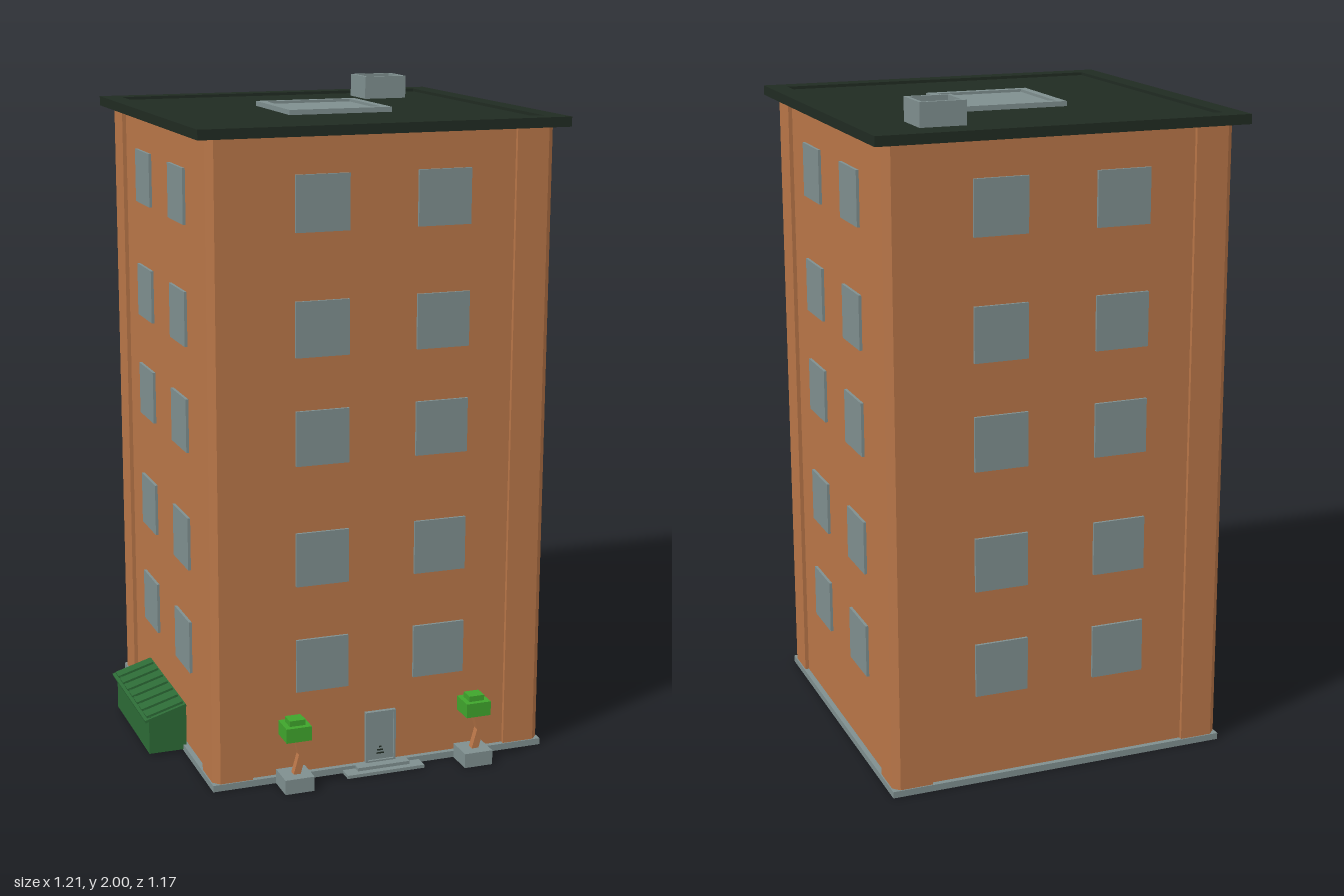
import * as THREE from 'three';

const mat = (name, color, side = THREE.FrontSide) => {
  const m = new THREE.MeshStandardMaterial({ color, side });
  m.name = name;
  return m;
};

export function createModel() {
  const brick = mat('brick', 0xb97648);
  const grey = mat('grey', 0x7f8f8f);
  const dark = mat('roofDark', 0x202b22);
  const leaf = mat('leafGreen', 0x3fa52c);
  const green = mat('shedGreen', 0x2c6a36, THREE.DoubleSide);

  const model = new THREE.Group();
  model.name = 'apartmentBlock';

  const add = (parent, name, geo, material, x = 0, y = 0, z = 0) => {
    const m = new THREE.Mesh(geo, material);
    m.name = name;
    m.position.set(x, y, z);
    parent.add(m);
    return m;
  };
  // box given by its minimum and maximum in each direction
  const box = (parent, name, material, x0, x1, y0, y1, z0, z1) =>
    add(parent, name, new THREE.BoxGeometry(x1 - x0, y1 - y0, z1 - z0), material,
      (x0 + x1) / 2, (y0 + y1) / 2, (z0 + z1) / 2);
  const square = (w, h = w) => [[-w, -h], [w, -h], [w, h], [-w, h]].map(p => new THREE.Vector2(...p));
  // outline with a hole, extruded along z
  const ring = (outer, inner, depth) => {
    const s = new THREE.Shape(outer);
    s.holes.push(new THREE.Path(inner));
    return new THREE.ExtrudeGeometry(s, { depth, bevelEnabled: false });
  };
  const flatRing = (...a) => ring(...a).rotateX(-Math.PI / 2);

  // everything square shares the tower's centre
  const tower = new THREE.Group();
  tower.name = 'tower';
  tower.position.set(0.043, 0, -0.027);
  model.add(tower);

  // walls: recessed panels between corner piers with cut corners
  const H = 0.524, P = 0.405, R = 0.012, C = 0.02;
  const plan = [];
  for (let i = 0; i < 4; i++) {
    for (const [x, y] of [[H - R, P], [H, P], [H, H - C], [H - C, H], [P, H], [P, H - R]]) {
      plan.push(new THREE.Vector2(x, y).rotateAround(new THREE.Vector2(), i * Math.PI / 2));
    }
  }
  add(tower, 'walls', flatRing(plan, square(0.5), 1.895), brick, 0, 0.018, 0);
  add(tower, 'baseTrim', flatRing(square(0.528), square(0.505), 0.02), grey);

  // windows on all four sides
  const rows = [0.355, 0.682, 1.045, 1.363, 1.72];
  const pane = new THREE.BoxGeometry(0.162, 0.162, 0.009);
  const innerFrame = ring(square(0.088), square(0.073), 0.008);
  for (let s = 0; s < 4; s++) {
    const side = new THREE.Group();
    side.name = 'windowSide';
    side.rotation.y = s * Math.PI / 2;
    tower.add(side);
    for (const y of rows) {
      for (const x of [-0.185, 0.185]) {
        add(side, 'window', pane, grey, x, y, H - R + 0.004);
        add(side, 'innerWindowFrame', innerFrame, grey, x, y, 0.493);
      }
    }
  }

  // flat roof with raised rim
  add(tower, 'roofSlab', new THREE.BoxGeometry(1.116, 0.02, 1.116), dark, 0, 1.92, 0);
  add(tower, 'roofRim', flatRing(square(0.558), square(0.498), 0.01), dark, 0, 1.929, 0);

  // skylight and chimney
  add(tower, 'skylightFrame', flatRing(square(0.161), square(0.136), 0.015), grey, 0, 1.93, 0);
  add(tower, 'skylightPane', new THREE.BoxGeometry(0.274, 0.008, 0.274), grey, 0, 1.933, 0);
  add(tower, 'chimney', flatRing(square(0.069, 0.066), square(0.058, 0.055), 0.07), grey, 0.312, 1.93, -0.343);
  add(tower, 'chimneyFloor', new THREE.BoxGeometry(0.118, 0.045, 0.112), grey, 0.312, 1.952, -0.343);

  // entrance
  box(model, 'lowerStep', grey, -0.08, 0.166, 0, 0.01, 0.48, 0.545);
  box(model, 'upperStep', grey, -0.04, 0.126, 0.01, 0.02, 0.48, 0.525);
  add(model, 'doorFrame', ring(square(0.048, 0.081), square(0.042, 0.075), 0.014), grey, 0.043, 0.1, 0.484);
  box(model, 'door', grey, -0.001, 0.087, 0.02, 0.176, 0.482, 0.491);
  for (const [y, w] of [[0.045, 0.012], [0.055, 0.009], [0.065, 0.004]]) {
    box(model, 'doorDetail', dark, 0.043 - w, 0.043 + w, y - 0.002, y + 0.002, 0.491, 0.493);
  }

  // potted trees with bent trunks
  const trunkShape = new THREE.Shape([[-0.01, 0.04], [0.012, 0.04], [0.03, 0.105], [0.014, 0.165],
    [-0.008, 0.165], [0.008, 0.105]].map(p => new THREE.Vector2(...p)));
  const trunkGeo = new THREE.ExtrudeGeometry(trunkShape, { depth: 0.022, bevelEnabled: false });
  for (const x of [-0.246, 0.325]) {
    const tree = new THREE.Group();
    tree.name = 'pottedTree';
    tree.position.set(x, 0, 0.545);
    model.add(tree);
    box(tree, 'pot', grey, -0.045, 0.045, 0, 0.045, -0.044, 0.044);
    add(tree, 'trunk', trunkGeo, brick, 0, 0, -0.011);
    box(tree, 'foliage', leaf, -0.039, 0.039, 0.158, 0.202, -0.038, 0.038);
    box(tree, 'foliageTop', leaf, -0.024, 0.024, 0.202, 0.219, -0.022, 0.022);
  }

  // lean-to shed on the right wall, open underneath
  const shed = new THREE.Group();
  shed.name = 'shed';
  model.add(shed);
  box(shed, 'shedFront', green, -0.593, -0.587, 0.005, 0.125, -0.215, 0.182);
  const endShape = new THREE.Shape([[-0.593, 0.005], [-0.475, 0.005], [-0.475, 0.15], [-0.593, 0.118]]
    .map(p => new THREE.Vector2(...p)));
  const endGeo = new THREE.ExtrudeGeometry(endShape, { depth: 0.006, bevelEnabled: false });
  for (const z of [-0.215, 0.176]) add(shed, 'shedEnd', endGeo, green, 0, 0, z);
  const roof = new THREE.Group();
  roof.name = 'shedRoof';
  roof.position.set(-0.605, 0.11, -0.0175);
  roof.rotation.z = 0.29;
  shed.add(roof);
  box(roof, 'shedRoofSheet', green, 0, 0.135, 0, 0.008, -0.2075, 0.2075);
  for (let i = -3; i <= 3; i++) {
    box(roof, 'shedRoofSlat', green, 0.01, 0.13, 0.008, 0.015, i * 0.0585 - 0.02, i * 0.0585 + 0.02);
  }
  return model;
}
